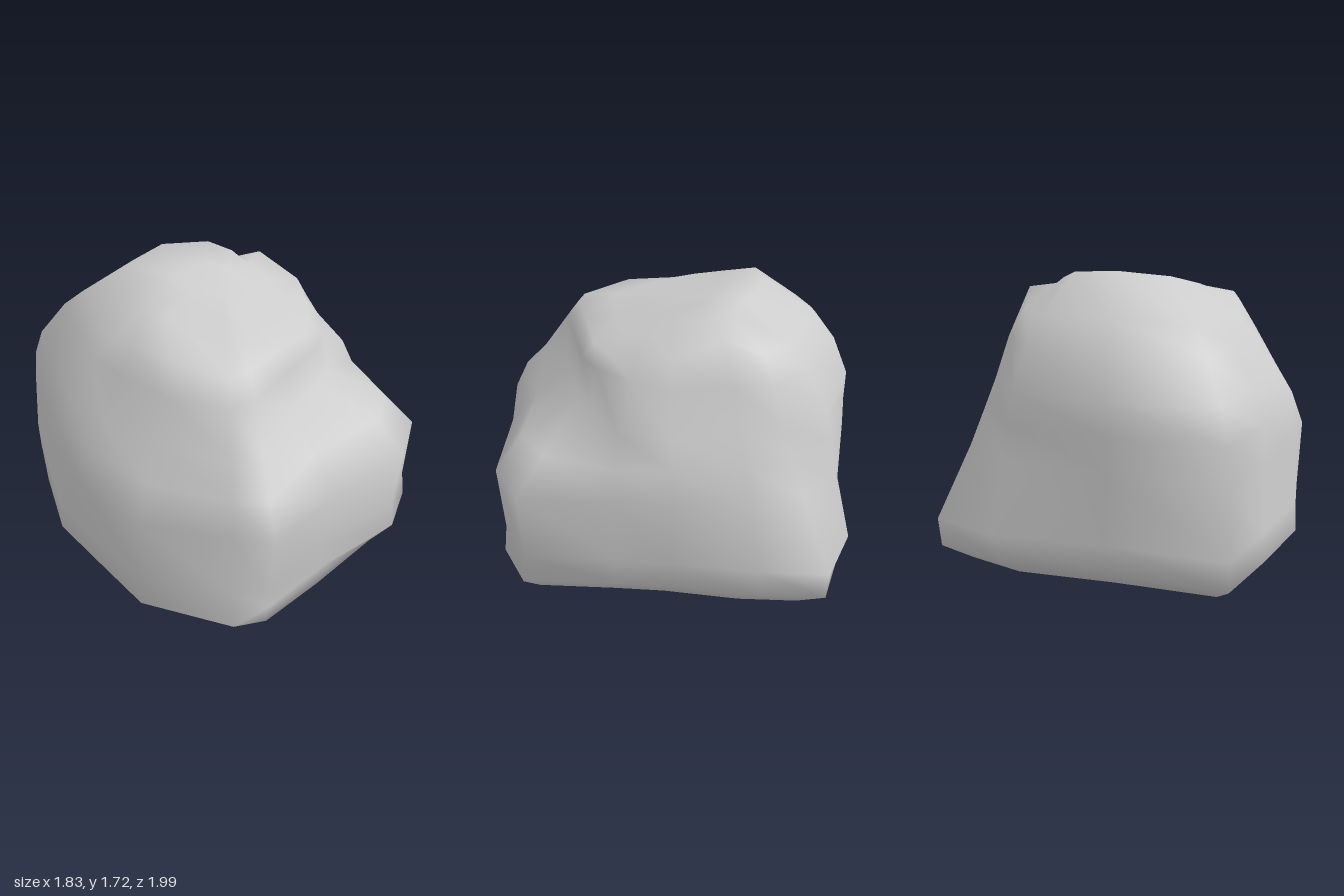
import * as THREE from 'three';

// Widest outline of the boulder, as [x, z] corners running right, front, left, back
const outline = [
  [0.91, 0.36], [0.74, 0.58], [0.3, 0.82], [-0.07, 1.0], [-0.25, 0.99], [-0.62, 0.73],
  [-0.79, 0.35], [-0.9, 0.1], [-0.92, -0.3], [-0.92, -0.65], [-0.4, -0.81],
  [0.1, -0.99], [0.43, -1.0], [0.55, -0.7], [0.66, -0.3], [0.75, -0.05],
];

// Underside: the outline shrunk about a shifting centre
const underside = [
  { y: 0.005, scale: 0.15, cx: -0.04, cz: 0.18 },
  { y: 0.08, scale: 0.28, cx: 0.07, cz: 0.16 },
  { y: 0.35, scale: 0.87, cx: 0, cz: 0.04 },
];

// Sides: share of the outline reached by each corner, at each height
const sides = [
  { y: 0.46, s: [1, 1, 0.92, 0.93, 1, 1, 1, 1, 1, 1, 0.97, 0.96, 0.98, 0.98, 0.98, 0.98] },
  { y: 0.6, s: [0.98, 0.98, 0.9, 0.95, 0.93, 0.98, 1, 0.99, 0.99, 1, 0.99, 1, 0.99, 0.98, 1, 0.99] },
  { y: 0.93, s: [0.99, 1, 0.96, 1, 0.92, 0.97, 1.01, 0.97, 0.97, 0.97, 0.98, 0.9, 0.82, 0.86, 1, 0.99] },
  { y: 1.09, s: [0.83, 0.85, 0.8, 0.91, 0.87, 0.87, 0.94, 0.94, 0.95, 0.95, 0.97, 0.87, 0.75, 0.8, 0.96, 0.97] },
  { y: 1.23, s: [0.53, 0.53, 0.59, 0.77, 0.77, 0.76, 0.84, 0.87, 0.9, 0.9, 0.97, 0.83, 0.69, 0.73, 0.9, 0.88] },
  { y: 1.42, s: [0.49, 0.5, 0.55, 0.62, 0.66, 0.66, 0.71, 0.72, 0.74, 0.76, 0.88, 0.73, 0.62, 0.66, 0.79, 0.67] },
];

// Plateau rising to a ridge near the back, dropping behind it and to both sides
function plateauY(x, z) {
  const slope = Math.min(1.64 - 0.22 * z, 1.73 + 0.76 * (z + 0.39));
  return Math.max(1.46, slope - 0.33 * Math.max(0, x) - 1.2 * Math.max(0, -0.45 - x));
}

function buildBoulder() {
  const n = outline.length;
  const positions = [-0.04, 0, 0.18];
  const indices = [];

  for (const { y, scale, cx, cz } of underside) {
    outline.forEach(([x, z]) => positions.push(cx + x * scale, y, cz + z * scale));
  }
  for (const { y, s } of sides) {
    outline.forEach(([x, z], j) => positions.push(x * s[j], y, z * s[j]));
  }

  // Plateau rim, inner loops and centre
  const rim = sides[sides.length - 1].s;
  const loops = [0.87, 0.56, 0.28];
  for (const shrink of loops) {
    outline.forEach(([x, z], j) => {
      const px = x * rim[j] * shrink, pz = z * rim[j] * shrink;
      positions.push(px, plateauY(px, pz), pz);
    });
  }
  positions.push(0, plateauY(0, 0), 0);

  // Join neighbouring loops and close both ends
  const rings = underside.length + sides.length + loops.length;
  const at = (i, j) => 1 + i * n + (j % n);
  const top = 1 + rings * n;
  for (let j = 0; j < n; j++) {
    indices.push(0, at(0, j), at(0, j + 1));
    for (let i = 0; i < rings - 1; i++) {
      const a = at(i, j), b = at(i, j + 1), c = at(i + 1, j + 1), d = at(i + 1, j);
      indices.push(a, d, c, a, c, b);
    }
    indices.push(at(rings - 1, j), top, at(rings - 1, j + 1));
  }

  const geometry = new THREE.BufferGeometry();
  geometry.setAttribute('position', new THREE.Float32BufferAttribute(positions, 3));
  geometry.setIndex(indices);
  geometry.computeVertexNormals();
  return geometry;
}

export function createModel() {
  const stone = new THREE.MeshStandardMaterial({ color: 0xcccccc });
  stone.name = 'light grey stone';

  const boulder = new THREE.Mesh(buildBoulder(), stone);
  boulder.name = 'boulder';

  const group = new THREE.Group();
  group.name = 'rock';
  group.add(boulder);
  return group;
}
